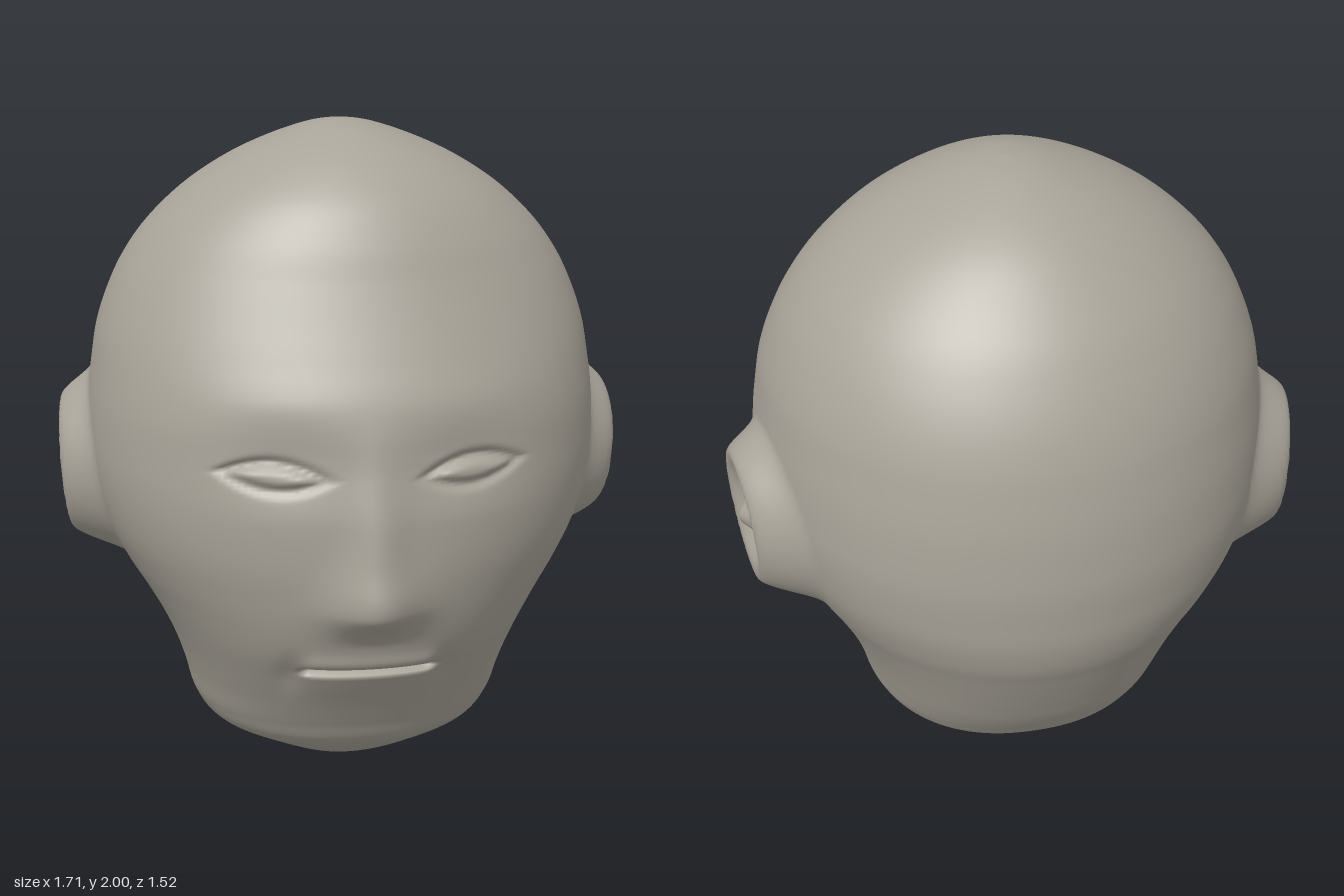
import * as THREE from 'three';

const skin = new THREE.MeshStandardMaterial({ color: 0xa9a499 });
skin.name = 'warm grey clay';

const { smoothstep, lerp } = THREE.MathUtils;
const bell = (d, s) => Math.exp(-(d * d) / (s * s));

// Head stations, bottom to top: [height, half width, front depth, back depth]
const stations = [
  [0, 0, 0, 0], [0.015, 0.08, 0.08, 0.08], [0.06, 0.18, 0.19, 0.18], [0.12, 0.3, 0.3, 0.3],
  [0.18, 0.415, 0.38, 0.41], [0.25, 0.465, 0.425, 0.468], [0.34, 0.49, 0.485, 0.53],
  [0.43, 0.52, 0.55, 0.58], [0.52, 0.56, 0.61, 0.627], [0.61, 0.61, 0.65, 0.672],
  [0.7, 0.665, 0.675, 0.715], [0.8, 0.715, 0.693, 0.742], [0.9, 0.748, 0.7, 0.752],
  [1, 0.765, 0.7, 0.757], [1.1, 0.768, 0.695, 0.752], [1.2, 0.763, 0.686, 0.742],
  [1.3, 0.75, 0.657, 0.724], [1.4, 0.733, 0.61, 0.7], [1.5, 0.7, 0.562, 0.664],
  [1.6, 0.652, 0.516, 0.613], [1.7, 0.58, 0.472, 0.547], [1.8, 0.475, 0.41, 0.455],
  [1.88, 0.355, 0.325, 0.36], [1.94, 0.23, 0.23, 0.25], [1.985, 0.1, 0.11, 0.12], [2, 0, 0, 0],
];
const sideCurve = new THREE.CatmullRomCurve3(
  stations.map(([y, w, f]) => new THREE.Vector3(w, y, f)), false, 'catmullrom', 0.5);
const backCurve = new THREE.CatmullRomCurve3(
  stations.map(([y, , , b]) => new THREE.Vector3(b, y, 0)), false, 'catmullrom', 0.5);

// Nose ridge: height of the bridge and tip above the face
const noseCurve = (y) => {
  const bridge = 0.05 * smoothstep(1.25 - y, 0, 0.5);
  const tip = 0.035 * bell(y - 0.71, 0.09);
  return (bridge + tip) * smoothstep(y, 0.57, 0.7);
};

// Nose, brow, eyes and mouth push the front surface along z
function sculptFace(p) {
  const ax = Math.abs(p.x);
  const { x, y } = p;
  p.z += noseCurve(y) * bell(x, lerp(0.12, 0.075, smoothstep(y, 0.68, 0.95)));

  // eye hollow under a soft brow
  const hollow = bell(ax - 0.25, 0.2) * smoothstep(y, 0.95, 1.12) * (1 - smoothstep(y, 1.14, 1.3));
  p.z -= 0.022 * hollow;

  // almond eye with a bulging lid and a fine groove around it
  const dx = (ax - 0.28) / 0.14;
  const dy = (y - 1.09 - 0.05 * (ax - 0.28)) / 0.04;
  const e = Math.abs(dy) + dx * dx;
  if (e < 3) {
    p.z -= 0.018 * bell(e - 1, 0.35) * (dy > 0 ? 1 : 0.7);
    p.z += 0.012 * (1 - smoothstep(e, 0.2, 0.9));
  }

  // mouth: full lips split by a narrow slit
  const mouth = 1 - smoothstep(ax, 0.16, 0.215);
  const slit = y - 0.478;
  p.z -= 0.055 * mouth * bell(slit, 0.011);
  p.z += 0.012 * mouth * bell(slit - 0.03, 0.03);
  p.z -= 0.012 * bell(ax - 0.23, 0.04) * bell(y - 0.46, 0.07);
}

// Ears: a raised oval rim, a dished middle and a central knob
function sculptEar(p) {
  const r = Math.hypot((p.z + 0.13) / 0.2, (p.y - 0.95) / 0.235);
  if (r > 1.4) return;
  let out = 0.818 + 0.14 * (p.z + 0.13) + 0.07 * (p.y - 0.95);
  out += 0.01 * bell(r - 0.85, 0.2);
  out -= 0.045 * (1 - smoothstep(r, 0.35, 0.78));
  out += 0.068 * bell(r, 0.26);
  const weight = 1 - smoothstep(r, 0.85, 1.32);
  p.x = Math.sign(p.x) * lerp(Math.abs(p.x), Math.max(out, Math.abs(p.x)), weight);
}

function headGeometry(rows, cols) {
  const positions = [0, 0, 0];
  const index = [];
  const p = new THREE.Vector3();
  for (let i = 1; i < rows; i++) {
    const side = sideCurve.getPoint(i / rows);
    const back = backCurve.getPoint(i / rows).x;
    // the jaw is a little squarer than the skull
    const power = lerp(0.9, 1, smoothstep(side.y, 0.3, 0.75));
    for (let j = 0; j < cols; j++) {
      const a = (j / cols) * Math.PI * 2;
      const s = Math.sin(a), c = Math.cos(a);
      p.set(
        side.x * Math.sign(s) * Math.abs(s) ** power,
        side.y,
        (c > 0 ? side.z : back) * Math.sign(c) * Math.abs(c) ** power);
      if (c > 0.1) sculptFace(p);
      if (Math.abs(s) > 0.5) sculptEar(p);
      positions.push(p.x, p.y, p.z);
    }
  }
  positions.push(0, 2, 0);
  const top = positions.length / 3 - 1;
  const at = (i, j) => 1 + (i - 1) * cols + (j % cols);
  for (let j = 0; j < cols; j++) {
    index.push(0, at(1, j + 1), at(1, j));
    for (let i = 1; i < rows - 1; i++) {
      index.push(at(i, j), at(i, j + 1), at(i + 1, j + 1));
      index.push(at(i, j), at(i + 1, j + 1), at(i + 1, j));
    }
    index.push(at(rows - 1, j), at(rows - 1, j + 1), top);
  }
  const geometry = new THREE.BufferGeometry();
  geometry.setAttribute('position', new THREE.Float32BufferAttribute(positions, 3));
  geometry.setIndex(index);
  geometry.computeVertexNormals();
  return geometry;
}

export function createModel() {
  const group = new THREE.Group();
  group.name = 'sculptedHead';
  const head = new THREE.Mesh(headGeometry(275, 240), skin);
  head.name = 'head';
  group.add(head);
  return group;
}
